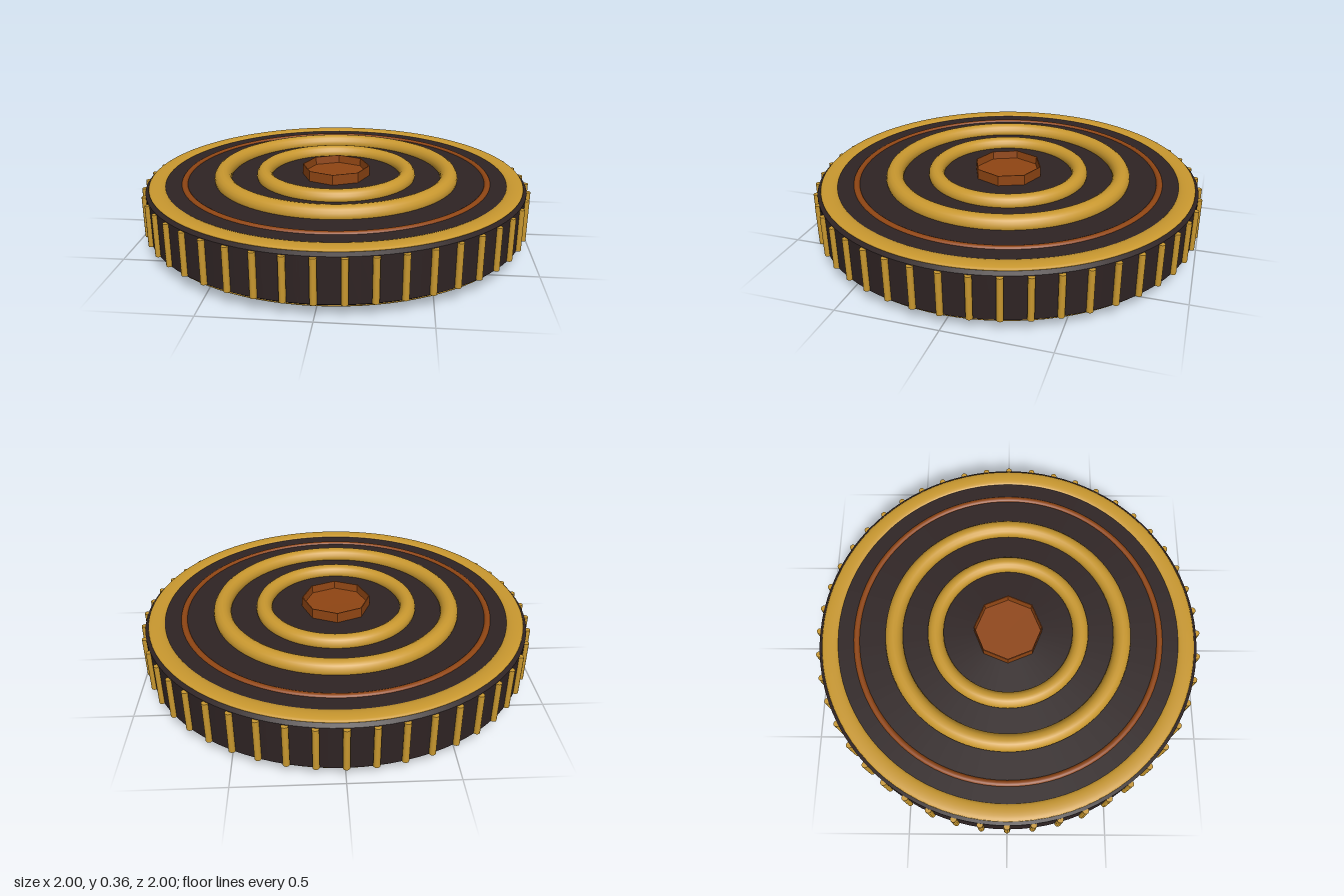
import * as THREE from 'three';

const MID = 0.185; // height of the disc's middle plane

export function createModel() {
  const root = new THREE.Group();
  root.name = 'ornamentalDisc';

  const material = (name, color) => {
    const m = new THREE.MeshStandardMaterial({ color });
    m.name = name;
    return m;
  };
  const dark = material('darkBrown', 0x2e2323);
  const gold = material('gold', 0xc9982f);
  const copper = material('copper', 0x8f4513);

  const add = (parent, name, geometry, mat) => {
    const mesh = new THREE.Mesh(geometry, mat);
    mesh.name = name;
    parent.add(mesh);
    return mesh;
  };
  const lathe = (points, segments) =>
    new THREE.LatheGeometry(points.map(([x, y]) => new THREE.Vector2(x, y)), segments);

  // Disc body: straight wall, softened edges and flat faces
  const wall = add(root, 'discWall', lathe([[0.98, -0.108], [0.98, 0.108]], 96), dark);
  wall.position.y = MID;

  // One decorated face, used for the top and turned over for the bottom
  const makeFace = (name) => {
    const face = new THREE.Group();
    face.name = name;
    add(face, 'edgeBevel', lathe([[0.98, 0.108], [0.955, 0.125]], 96), dark);
    const plate = add(face, 'facePlate', new THREE.CircleGeometry(0.955, 96).rotateX(-Math.PI / 2), dark);
    plate.position.y = 0.125;

    // Concentric rings: radius, tube, height, vertical squash
    const rings = [
      ['rimBand', 0.922, 0.042, 0.123, 0.25, gold],
      ['thinRing', 0.785, 0.016, 0.122, 0.8, copper],
      ['outerRing', 0.59, 0.045, 0.135, 1, gold],
      ['innerRing', 0.375, 0.041, 0.135, 1, gold],
    ];
    for (const [ringName, radius, tube, height, squash, mat] of rings) {
      const geometry = new THREE.TorusGeometry(radius, tube, 16, 96).rotateX(Math.PI / 2);
      const ring = add(face, ringName, geometry.scale(1, squash, 1), mat);
      ring.position.y = height;
    }

    // Eight-sided centre boss with a shallow recess
    const profile = [[0.177, 0.12], [0.177, 0.178], [0.172, 0.178], [0.168, 0.138], [0, 0.136]];
    const boss = lathe(profile, 8).toNonIndexed();
    boss.computeVertexNormals();
    add(face, 'centreBoss', boss, copper);
    return face;
  };

  const top = makeFace('topFace');
  top.position.y = MID;
  const bottom = makeFace('bottomFace');
  bottom.position.y = MID;
  bottom.rotation.x = Math.PI;
  root.add(top, bottom);

  // Gold ribs around the wall
  const ribs = new THREE.Group();
  ribs.name = 'edgeRibs';
  const ribGeometry = new THREE.CylinderGeometry(0.016, 0.016, 0.21, 10);
  for (let i = 0; i < 48; i++) {
    const a = (i / 48) * Math.PI * 2;
    const rib = add(ribs, 'rib', ribGeometry, gold);
    rib.position.set(Math.sin(a) * 0.984, MID, Math.cos(a) * 0.984);
  }
  root.add(ribs);

  return root;
}
